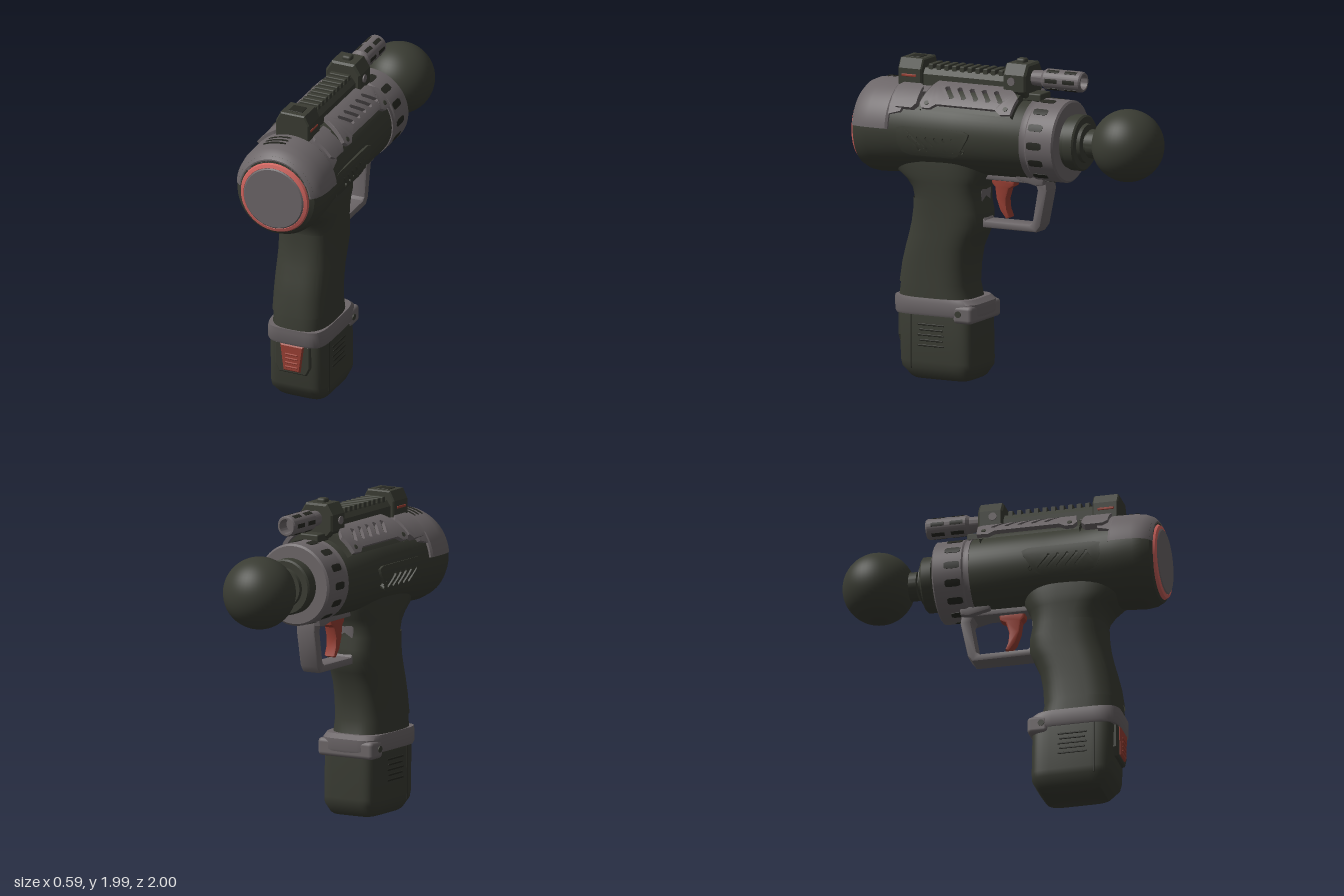
import * as THREE from 'three';
import { toCreasedNormals } from 'three/addons/utils/BufferGeometryUtils.js';
import { RoundedBoxGeometry } from 'three/addons/geometries/RoundedBoxGeometry.js';

const mat = (name, color) => {
  const m = new THREE.MeshStandardMaterial({ color, side: THREE.DoubleSide });
  m.name = name;
  return m;
};
const V2 = (p) => new THREE.Vector2(p[0], p[1]);

export function createModel() {
  const dark = mat('dark olive', 0x3a3c33), grey = mat('warm grey', 0x6c6668);
  const red = mat('brick red', 0x9a4034), coral = mat('coral', 0xcf645e);
  const slotDark = mat('slot black', 0x272822);
  const root = new THREE.Group();
  const CY = 1.505; // barrel axis height

  const add = (name, geo, m, x = 0, y = 0, z = 0) => {
    const mesh = new THREE.Mesh(geo, m);
    mesh.name = name;
    mesh.position.set(x, y, z);
    root.add(mesh);
    return mesh;
  };
  const box = (name, m, w, h, d, x, y, z, r = 0.01) =>
    add(name, new RoundedBoxGeometry(w, h, d, 2, r), m, x, y, z);

  // Profile of [z, radius] turned around the barrel axis; top is at angle PI
  const turn = (name, m, pts, y = CY, start = 0, len = Math.PI * 2) => {
    const g = new THREE.LatheGeometry(pts.map(([z, r]) => new THREE.Vector2(r, z)), 64, start, len);
    g.rotateX(Math.PI / 2);
    return add(name, toCreasedNormals(g, 0.5), m, 0, y, 0);
  };

  // Side outline of [z, y] given a width across x
  const side = (name, m, pts, width, x = 0, hole = null, bevel = 0.012) => {
    const s = new THREE.Shape(pts.map(V2));
    if (hole) s.holes.push(new THREE.Path(hole.map(V2)));
    const depth = width - 2 * bevel;
    const g = new THREE.ExtrudeGeometry(s, { depth, bevelSize: bevel, bevelThickness: bevel, bevelOffset: -bevel, bevelSegments: 2 });
    g.translate(0, 0, -depth / 2).rotateY(-Math.PI / 2);
    return add(name, toCreasedNormals(g, 0.6), m, x);
  };

  // Front outline of [x, y] run from z0 to z1
  const along = (name, m, pts, z0, z1, bevel = 0.008) => {
    const g = new THREE.ExtrudeGeometry(new THREE.Shape(pts.map(V2)), {
      depth: z1 - z0 - 2 * bevel, bevelSize: bevel, bevelThickness: bevel, bevelOffset: -bevel, bevelSegments: 1 });
    return add(name, g, m, 0, 0, z0 + bevel);
  };

  // Plate of outline [angle, z] wrapped round a cylinder; angle 0 is the top
  const wrap = (name, m, pts, holes, r0, thick, cy = CY, sign = 1) => {
    const flat = (p) => new THREE.Vector2(sign * p[0] * r0, -p[1]);
    const s = new THREE.Shape(pts.map(flat));
    s.holes = holes.map((h) => new THREE.Path(h.map(flat)));
    const src = new THREE.ExtrudeGeometry(s, { depth: thick, bevelEnabled: false }).toNonIndexed().attributes.position;
    const out = [];
    const split = (a, b, c, n) => {
      if (!n) {
        for (const p of [a, b, c]) {
          const t = p.x / r0, r = r0 + p.z;
          out.push(Math.sin(t) * r, cy + Math.cos(t) * r, -p.y);
        }
        return;
      }
      const [ab, bc, ca] = [[a, b], [b, c], [c, a]].map(([p, q]) => p.clone().lerp(q, 0.5));
      split(a, ab, ca, n - 1); split(ab, b, bc, n - 1); split(ca, bc, c, n - 1); split(ab, bc, ca, n - 1);
    };
    const v = (i) => new THREE.Vector3().fromBufferAttribute(src, i);
    for (let i = 0; i < src.count; i += 3) split(v(i), v(i + 1), v(i + 2), 2);
    const g = new THREE.BufferGeometry();
    g.setAttribute('position', new THREE.Float32BufferAttribute(out, 3));
    return add(name, toCreasedNormals(g, 0.5), m);
  };
  // Blunt-ended slot outline between two [angle, z] points, width w along z
  const slot = (a0, z0, a1, z1, w) => {
    const e = (a1 - a0) * 0.15;
    return [[a0, z0 - w / 4], [a0, z0 + w / 4], [a0 + e, z0 + w / 2], [a1 - e, z1 + w / 2],
      [a1, z1 + w / 4], [a1, z1 - w / 4], [a1 - e, z1 - w / 2], [a0 + e, z0 - w / 2]];
  };

  // Rounded sections [y, zFront, zRear, halfWidth] joined upward; a0..a1 limits the sweep
  const loft = (name, m, rows, power, grow = 0, a0 = 0, a1 = Math.PI * 2) => {
    const N = 48, pos = [], idx = [];
    const f = (c) => Math.sign(c) * Math.abs(c) ** (2 / power);
    for (const [y, zf, zr, hw] of rows)
      for (let i = 0; i <= N; i++) {
        const a = a0 + (a1 - a0) * i / N;
        pos.push((hw + grow) * f(Math.sin(a)), y, (zf + zr) / 2 + ((zr - zf) / 2 + grow) * f(Math.cos(a)));
      }
    for (let j = 0; j < rows.length - 1; j++)
      for (let i = 0; i < N; i++) {
        const a = j * (N + 1) + i, d = a + N + 1;
        idx.push(a, a + 1, d, a + 1, d + 1, d);
      }
    if (!grow) for (const [j, up] of [[0, false], [rows.length - 1, true]]) {
      const c = pos.length / 3, [y, zf, zr] = rows[j];
      pos.push(0, y, (zf + zr) / 2);
      for (let i = 0; i < N; i++) {
        const a = j * (N + 1) + i;
        idx.push(c, up ? a : a + 1, up ? a + 1 : a);
      }
    }
    const g = new THREE.BufferGeometry();
    g.setAttribute('position', new THREE.Float32BufferAttribute(pos, 3));
    g.setIndex(idx);
    return add(name, toCreasedNormals(g, 0.6), m);
  };

  // Motor housing and end disc
  turn('housing', dark, [[-0.18, 0], [-0.18, 0.235], [-0.16, 0.245], [0.3, 0.25], [0.52, 0.256], [0.62, 0.264], [0.72, 0.275],
    [0.86, 0.283], [0.92, 0.275], [0.96, 0.255], [0.975, 0.23], [0.975, 0]]);
  turn('endRing', coral, [[0.95, 0.233], [0.97, 0.229], [0.988, 0.22], [0.995, 0.2], [0.99, 0.195]], 1.495);
  turn('endDisc', grey, [[0.97, 0.2], [0.992, 0.2], [1, 0.19], [1, 0]], 1.495);
  turn('rearCap', grey, [[0.71, 0.265], [0.71, 0.287], [0.725, 0.296], [0.85, 0.294], [0.91, 0.284], [0.95, 0.266], [0.975, 0.238], [0.975, 0.22]],
    CY, Math.PI / 2 + 0.1, Math.PI - 0.2);
  for (const z of [0.77, 0.81, 0.85])
    wrap('capVent', slotDark, slot(-0.48, z, 0.04, z, 0.016), [], 0.293, 0.005);

  // Front collar with slots, nose, neck and ball
  turn('collar', grey, [[-0.395, 0.15], [-0.395, 0.238], [-0.385, 0.25], [-0.21, 0.25], [-0.2, 0.243], [-0.185, 0.243], [-0.165, 0.25], [-0.165, 0.22]]);
  for (let i = 0; i < 14; i++) {
    const a = (i + 0.5) * Math.PI / 7;
    const s = [[a - 0.09, -0.235], [a - 0.09, -0.3], [a - 0.06, -0.315], [a + 0.06, -0.315],
      [a + 0.09, -0.3], [a + 0.09, -0.235], [a + 0.06, -0.22], [a - 0.06, -0.22]];
    wrap('collarSlot', slotDark, s, [], 0.247, 0.006);
  }
  turn('nose', dark, [[-0.62, 0], [-0.62, 0.075], [-0.61, 0.088], [-0.53, 0.088], [-0.525, 0.07], [-0.51, 0.07], [-0.51, 0.115], [-0.49, 0.12],
    [-0.49, 0.16], [-0.48, 0.17], [-0.42, 0.17], [-0.415, 0.16], [-0.39, 0.16]]);
  turn('neck', dark, [[-0.7, 0.06], [-0.5, 0.06]]);
  add('ball', new THREE.SphereGeometry(0.22, 48, 32), dark, 0, 1.515, -0.78);

  // Shoulder, slotted side panels, pads and housing vents
  turn('shoulder', dark, [[-0.1, 0.2], [-0.1, 0.27], [0.52, 0.27], [0.52, 0.2]], 1.53, Math.PI - 1.05, 2.1);
  for (const s of [1, -1]) {
    const panel = [[0.27, 0.46], [0.27, -0.01], [0.5, -0.09], [0.62, -0.12], [1.03, -0.11], [1.05, -0.04], [0.95, 0],
      [0.95, 0.4], [1.05, 0.44], [1.05, 0.49], [0.95, 0.51], [0.6, 0.49]];
    const holes = [0, 1, 2, 3, 4].map((i) => slot(0.47, 0.37 - i * 0.083, 0.8, 0.315 - i * 0.083, 0.036));
    wrap('sidePanel', grey, panel, holes, 0.275, 0.026, 1.53, s);
    const bolt = (z, a) => wrap('panelBolt', dark,
      [...Array(12)].map((_, i) => [a + 0.05 * Math.cos(i * Math.PI / 6), z + 0.015 * Math.sin(i * Math.PI / 6)]), [], 0.3, 0.005, 1.53, s);
    bolt(0.465, 0.94); bolt(-0.07, 0.92);
    wrap('sidePad', grey, [[0.4, 0.68], [0.4, 0.56], [0.48, 0.54], [0.93, 0.535], [1.03, 0.56], [1.03, 0.67], [0.95, 0.7], [0.48, 0.7]],
      [], 0.262, 0.043, CY + 0.012, s);
    wrap('capArm', grey, [[0.35, 0.73], [0.35, 0.5], [0.55, 0.5], [0.62, 0.6], [1.1, 0.64], [1.2, 0.73]], [], 0.255, 0.032, CY + 0.01, s);
    const vent = [[1.42, 0.66], [1.38, 0.62], [1.38, 0.21], [1.44, 0.17], [1.56, 0.18], [1.98, 0.25], [2.06, 0.29], [2.06, 0.58], [1.98, 0.63], [1.7, 0.67]];
    wrap('housingVent', dark, vent, [0, 1, 2, 3, 4, 5].map((i) => slot(1.58, 0.57 - i * 0.058, 1.92, 0.51 - i * 0.058, 0.025)), 0.25, 0.018, CY, s);
  }

  // Top rail, rear block, clamp and light tube
  along('railBase', dark, [[-0.085, 1.7], [0.085, 1.7], [0.085, 1.85], [0.06, 1.885], [-0.06, 1.885], [-0.085, 1.85]], -0.1, 0.7);
  for (let i = 0; i < 10; i++) box('railTooth', dark, 0.13, 0.04, 0.032, 0, 1.892, 0.53 - i * 0.053, 0.006);
  along('railRear', dark, [[-0.11, 1.74], [0.11, 1.74], [0.11, 1.88], [0.08, 1.94], [-0.08, 1.94], [-0.11, 1.88]], 0.57, 0.73);
  for (const s of [1, -1]) box('railMarker', red, 0.01, 0.016, 0.1, s * 0.109, 1.838, 0.655, 0.004);
  box('rearNotch', slotDark, 0.09, 0.008, 0.08, 0, 1.94, 0.65, 0.003);
  along('clamp', dark, [[-0.115, 1.8], [-0.08, 1.76], [0.08, 1.76], [0.115, 1.8], [0.115, 1.9], [0.075, 1.965], [-0.075, 1.965], [-0.115, 1.9]], -0.14, 0.015, 0.012);
  box('railTip', dark, 0.13, 0.05, 0.14, 0, 1.765, -0.15);
  box('clampKnob', dark, 0.06, 0.05, 0.06, 0, 1.965, -0.06, 0.015);
  const bolt = add('clampBolt', new THREE.CylinderGeometry(0.025, 0.025, 0.245, 16), grey, 0, 1.86, -0.045);
  bolt.rotation.z = Math.PI / 2;
  turn('lightTube', grey, [[-0.4, 0], [-0.4, 0.045], [-0.48, 0.045], [-0.48, 0.056], [-0.47, 0.063], [-0.23, 0.063], [-0.21, 0.05], [-0.13, 0.045]], 1.875);
  for (let i = 0; i < 6; i++)
    for (const z of [-0.245, -0.365]) {
      const a = i * Math.PI / 3 + Math.PI / 6;
      wrap('tubeSlot', slotDark, [[a - 0.2, z], [a + 0.2, z], [a + 0.2, z - 0.08], [a - 0.2, z - 0.08]], [], 0.061, 0.004, 1.875);
    }

  // Handle with raised rear grip
  const grip = [[0.58, 0.26, 0.728, 0.18], [0.7, 0.252, 0.71, 0.178], [0.8, 0.235, 0.685, 0.178], [0.88, 0.2, 0.663, 0.178],
    [0.95, 0.17, 0.647, 0.178], [1.03, 0.17, 0.635, 0.18], [1.1, 0.185, 0.632, 0.182]];
  loft('handle', dark, [[0.46, 0.23, 0.74, 0.182], [0.5, 0.24, 0.738, 0.182], ...grip, [1.16, 0.185, 0.645, 0.186],
    [1.21, 0.17, 0.685, 0.19], [1.26, 0.14, 0.75, 0.195], [1.36, 0.12, 0.8, 0.19]], 3);
  loft('gripSleeve', dark, grip, 3, 0.007, -1.5, 1.5);

  // Base collar and battery
  loft('baseCollar', grey, [[0.395, 0.185, 0.735, 0.19], [0.41, 0.18, 0.742, 0.196], [0.475, 0.182, 0.745, 0.195], [0.5, 0.215, 0.745, 0.188]], 5);
  box('collarTab', grey, 0.39, 0.11, 0.13, 0, 0.415, 0.25, 0.025);
  loft('battery', dark, [[0, 0.25, 0.62, 0.14], [0.012, 0.235, 0.635, 0.158], [0.07, 0.198, 0.69, 0.184], [0.11, 0.195, 0.7, 0.187],
    [0.38, 0.2, 0.71, 0.185], [0.42, 0.2, 0.71, 0.18]], 6);
  for (const s of [1, -1]) {
    for (let i = 0; i < 5; i++) box('batteryVent', slotDark, 0.01, 0.012, 0.18 - (i % 2) * 0.02, s * 0.184, 0.21 + i * 0.032, 0.465, 0.004);
    box('batterySeam', slotDark, 0.008, 0.33, 0.006, s * 0.184, 0.23, 0.6, 0.002);
    const screw = add('collarScrew', new THREE.CylinderGeometry(0.02, 0.02, 0.01, 16), dark, s * 0.196, 0.42, 0.275);
    screw.rotation.z = Math.PI / 2;
  }
  along('latchPlate', dark, [[-0.09, 0.2], [0.09, 0.2], [0.115, 0.25], [0.115, 0.4], [-0.115, 0.4], [-0.115, 0.25]], 0.67, 0.728);
  along('latchButton', red, [[-0.055, 0.22], [0.055, 0.22], [0.078, 0.395], [-0.078, 0.395]], 0.7, 0.742);
  for (let i = 0; i < 4; i++) box('latchRidge', red, 0.085, 0.012, 0.014, 0, 0.25 + i * 0.028, 0.741, 0.005);

  // Trigger guard and trigger
  side('triggerGuard', grey, [[0.2, 1.28], [-0.25, 1.28], [-0.26, 1.2], [-0.215, 0.98], [-0.185, 0.94], [0.19, 0.94], [0.24, 0.98]], 0.13, 0,
    [[0.18, 1.235], [-0.18, 1.235], [-0.195, 1.2], [-0.16, 1.0], [-0.14, 0.985], [0.16, 0.985], [0.19, 1.02]]);
  side('guardMount', grey, [[-0.05, 1.33], [-0.24, 1.33], [-0.26, 1.3], [-0.25, 1.24], [-0.2, 1.23], [-0.07, 1.26]], 0.2);
  side('trigger', red, [[0.135, 1.25], [-0.03, 1.25], [-0.02, 1.205], [0.015, 1.185], [0.035, 1.12], [0.03, 1.06], [0.01, 1.01],
    [0.035, 1.0], [0.075, 1.05], [0.1, 1.12], [0.11, 1.19], [0.13, 1.21]], 0.075);
  return root;
}
